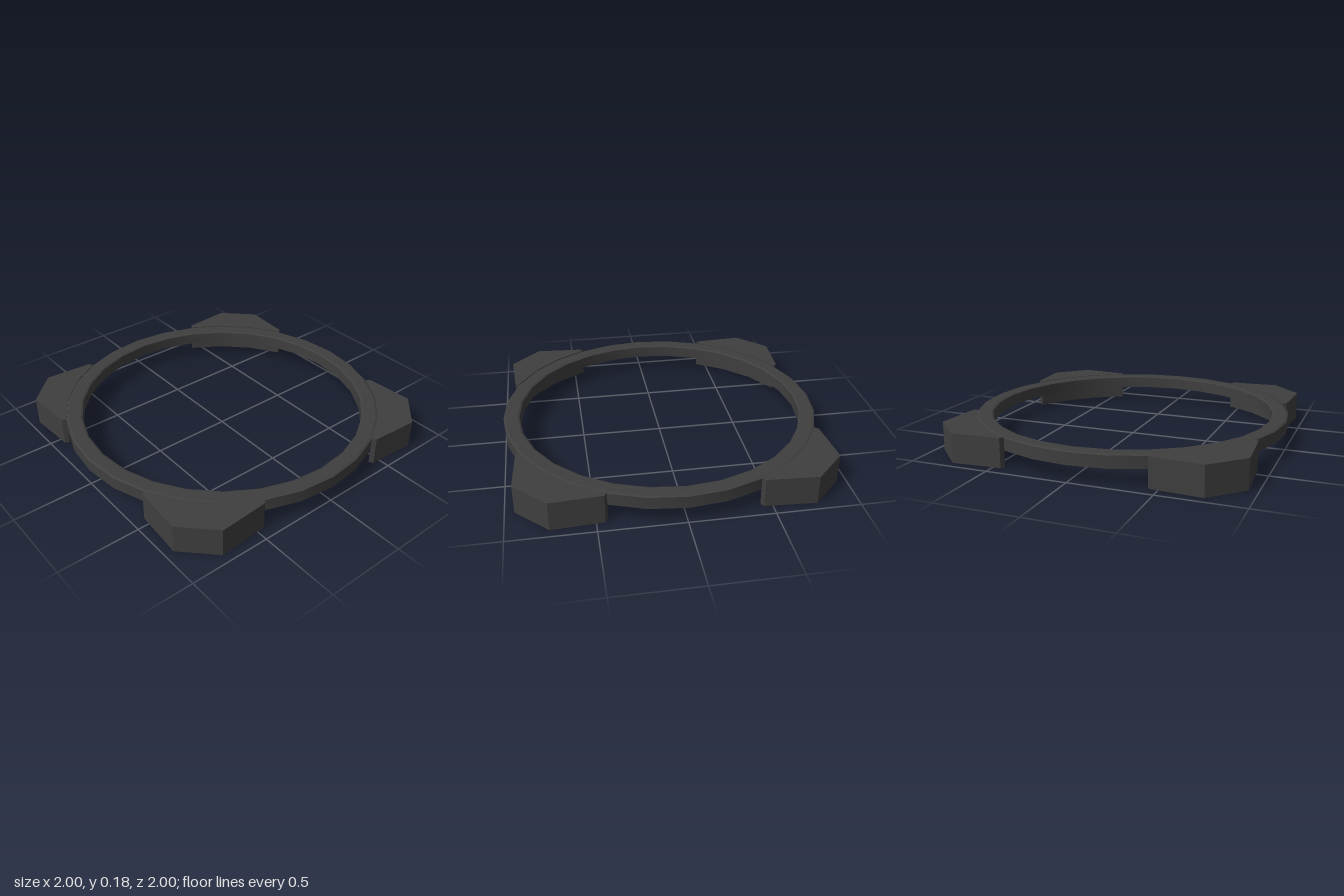
import * as THREE from 'three';
import { toCreasedNormals } from 'three/addons/utils/BufferGeometryUtils.js';

const SIDES = 28;
const TOP = 0.18;
const RING_BOTTOM = 0.1;

export function createModel() {
  const model = new THREE.Group();
  model.name = 'ringStand';
  const charcoal = new THREE.MeshStandardMaterial({ color: 0x3f3f3f });
  charcoal.name = 'charcoal';

  // Ring with finely bevelled upper edges
  const bevel = 0.012;
  const profile = [
    [0.9, RING_BOTTOM], [1, RING_BOTTOM], [1, TOP - bevel * 0.5], [1 - bevel, TOP],
    [0.9 + bevel, TOP], [0.9, TOP - bevel * 0.5], [0.9, RING_BOTTOM],
  ].map(([r, y]) => new THREE.Vector2(r, y));
  const ring = new THREE.Mesh(
    toCreasedNormals(new THREE.LatheGeometry(profile, SIDES), 0.35), charcoal);
  ring.name = 'ring';
  model.add(ring);

  // Corner foot: faceted outside, inner wall follows the ring's sides
  const outline = [[0.925, 0.45], [0.945, 0.757], [0.757, 0.945], [0.45, 0.925]];
  for (let i = 5; i >= 2; i--) {
    const a = (i / SIDES) * Math.PI * 2;
    outline.push([Math.cos(a), Math.sin(a)]);
  }
  const shape = new THREE.Shape(outline.map(([x, y]) => new THREE.Vector2(x, y)));
  const extruded = new THREE.ExtrudeGeometry(shape, { depth: TOP, bevelEnabled: false });
  extruded.rotateX(-Math.PI / 2);
  const footGeometry = toCreasedNormals(extruded, 0.85);

  const names = ['footBackLeft', 'footBackRight', 'footFrontRight', 'footFrontLeft'];
  names.forEach((name, i) => {
    const foot = new THREE.Mesh(footGeometry, charcoal);
    foot.name = name;
    foot.rotation.y = (i * Math.PI) / 2;
    model.add(foot);
  });

  return model;
}
